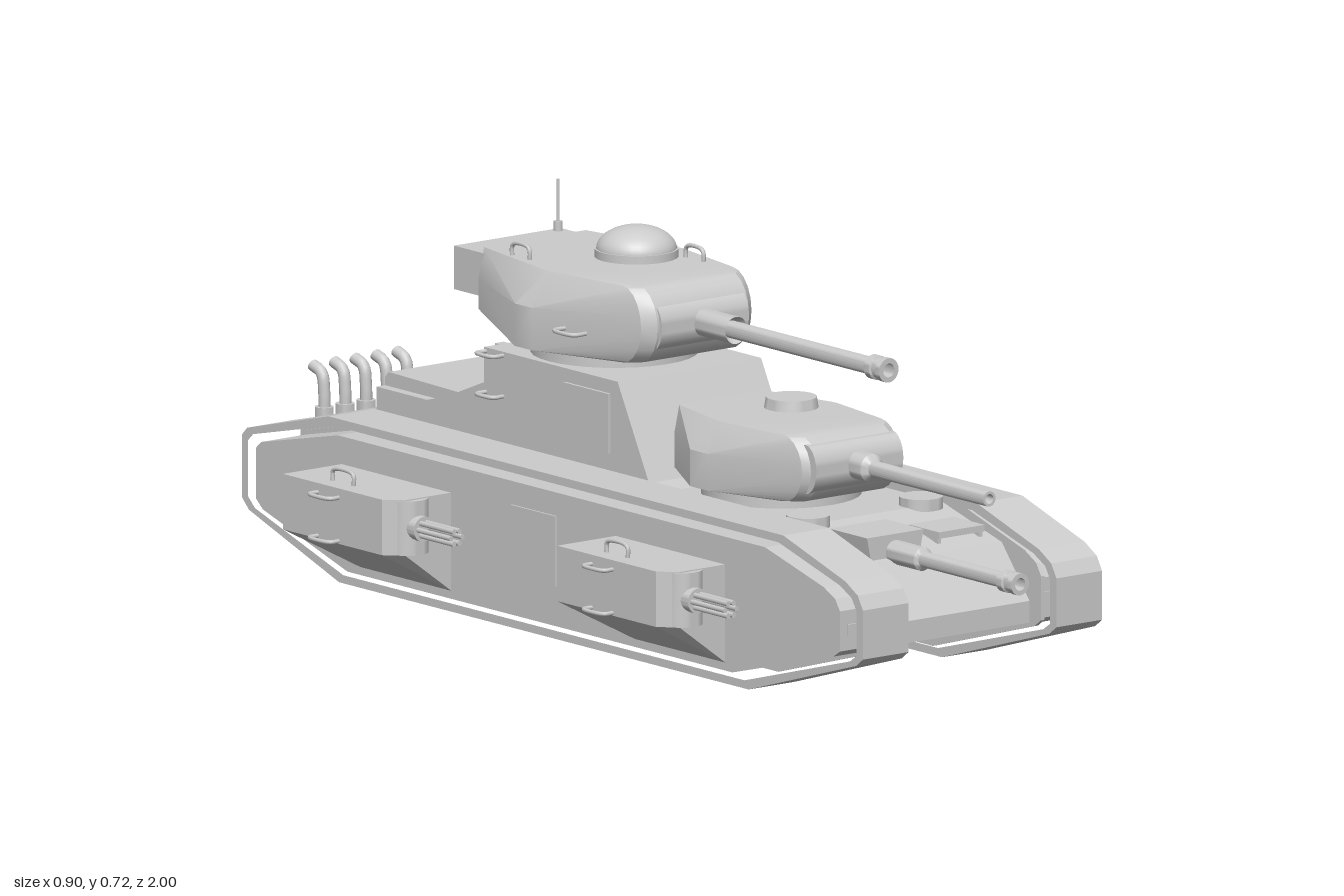
import * as THREE from 'three';
import { toCreasedNormals } from 'three/addons/utils/BufferGeometryUtils.js';
import { ConvexGeometry } from 'three/addons/geometries/ConvexGeometry.js';

const mat = new THREE.MeshStandardMaterial({ color: 0xcccccc });
const V = (x, y, z) => new THREE.Vector3(x, y, z);

export function createModel() {
  const root = new THREE.Group();
  const add = (name, geo, x = 0, y = 0, z = 0) => {
    const m = new THREE.Mesh(geo, mat);
    m.name = name;
    m.position.set(x, y, z);
    root.add(m);
    return m;
  };
  const box = (name, w, h, d, x, y, z) => add(name, new THREE.BoxGeometry(w, h, d), x, y, z);
  const disc = (name, r, h, x, y, z, r2 = r) =>
    add(name, toCreasedNormals(new THREE.CylinderGeometry(r2, r, h, 32), 0.6), x, y, z);
  const convex = (name, pts) =>
    add(name, toCreasedNormals(new ConvexGeometry(pts.map(p => V(...p))), 0.4));
  // Side profile of [z, y] points, extruded across x; optional hole
  const profile = (name, pts, width, cx = 0, hole) => {
    const s = new THREE.Shape(pts.map(p => new THREE.Vector2(...p)));
    if (hole) s.holes.push(new THREE.Path(hole.map(p => new THREE.Vector2(...p))));
    const g = new THREE.ExtrudeGeometry(s, { depth: width, bevelEnabled: false });
    g.rotateY(-Math.PI / 2);
    return add(name, g, cx + width / 2);
  };
  // Barrel along +z from [radius, z] points
  const barrel = (name, pts, x, y, z) => {
    const g = new THREE.LatheGeometry(pts.map(p => new THREE.Vector2(...p)).reverse(), 24);
    g.rotateX(Math.PI / 2);
    const m = add(name, toCreasedNormals(g, 0.6), x, y, z);
    m.material = barrelMat;
    return m;
  };
  const barrelMat = mat.clone();
  barrelMat.side = THREE.DoubleSide;
  // U-shaped grab handle running along z; out = direction it stands off
  const handle = (x, y, z, out, len = 0.06, h = 0.025) => {
    const o = V(...out).multiplyScalar(h), e = V(0, 0, len / 2);
    const pts = [e.clone(), e.clone().addScaledVector(o, 0.8), e.clone().multiplyScalar(0.7).add(o),
      e.clone().multiplyScalar(-0.7).add(o), e.clone().negate().addScaledVector(o, 0.8), e.clone().negate()];
    add('grabHandle', new THREE.TubeGeometry(
      new THREE.CatmullRomCurve3(pts, false, 'centripetal'), 20, 0.004, 8), x, y, z);
  };

  // Hull between the tracks
  profile('hull', [[0.48, 0.285], [0.65, 0.24], [0.73, 0.145], [0.73, 0.105], [0.5, 0.055],
    [-0.7, 0.055], [-0.94, 0.11], [-0.94, 0.245], [-0.73, 0.295], [0.06, 0.295], [0.1, 0.285]], 0.344);

  // Tracks with raised side plates
  const loop = [[0.58, 0.3], [0.76, 0.245], [0.795, 0.225], [0.81, 0.2], [0.81, 0.11], [0.79, 0.095],
    [0.48, 0], [-0.7, 0], [-0.96, 0.09], [-0.98, 0.11], [-0.98, 0.225], [-0.965, 0.24], [-0.73, 0.3]];
  const inset = (kz, ky) => loop.map(([z, y]) => [-0.085 + (z + 0.085) * kz, 0.15 + (y - 0.15) * ky]);
  for (const s of [-1, 1]) {
    profile('trackBand', loop, 0.105, s * 0.2225, inset(0.98, 0.9));
    profile('trackSidePlate', inset(0.94, 0.82), 0.11, s * 0.23);
    profile('trackInnerPlate', inset(0.945, 0.9), 0.008, s * 0.178);
    for (const z of [0.71, -0.88])
      box('trackSpacer', 0.09, 0.02, 0.1, s * 0.224, 0.155, z);
    box('sideDoor', 0.006, 0.13, 0.13, s * 0.286, 0.165, -0.125);
    box('superstructureDoor', 0.006, 0.11, 0.13, s * 0.168, 0.385, -0.12);
    disc('driverHatch', 0.04, 0.022, s * 0.13, 0.29, 0.47);
  }

  // Superstructure and engine deck
  profile('superstructure', [[0.06, 0.285], [-0.035, 0.465], [-0.42, 0.465], [-0.42, 0.4],
    [-0.53, 0.355], [-0.73, 0.3], [-0.73, 0.285]].reverse(), 0.33);
  profile('engineDeck', [[-0.5, 0.29], [-0.5, 0.362], [-0.72, 0.366], [-0.73, 0.355], [-0.73, 0.29]].reverse(), 0.29);
  for (const s of [-1, 1]) {
    box('engineDeckRail', 0.02, 0.05, 0.23, s * 0.155, 0.315, -0.615);
    box('rearHinge', 0.02, 0.07, 0.015, s * 0.12, 0.43, -0.425);
  }
  handle(-0.165, 0.458, -0.39, [-1, 0, 0], 0.05);
  handle(-0.165, 0.383, -0.39, [-1, 0, 0], 0.05);

  // Hull gun and vision hood
  const mount = [];
  for (const z of [0.53, 0.64])
    mount.push([-0.13, 0.285, z], [0, 0.285, z], [-0.113, 0.205, z], [-0.017, 0.205, z]);
  convex('hullGunMount', mount);
  const muzzle = (r, len) => [[0, 0], [r * 1.5, 0], [r * 1.5, 0.08], [r, 0.085], [r, len - 0.05],
    [r * 1.4, len - 0.045], [r * 1.4, len - 0.03], [r * 1.15, len - 0.028], [r * 1.15, len - 0.015],
    [r * 1.4, len - 0.013], [r * 1.4, len], [r * 0.8, len], [r * 0.8, len - 0.08], [0, len - 0.08]];
  barrel('hullGun', muzzle(0.0145, 0.36), -0.065, 0.252, 0.64);
  box('visionHoodRoof', 0.105, 0.012, 0.09, 0.1, 0.264, 0.58);
  box('visionHoodSill', 0.095, 0.02, 0.07, 0.1, 0.236, 0.59);
  for (const x of [0.052, 0.148]) box('visionHoodCheek', 0.008, 0.04, 0.08, x, 0.246, 0.58);

  // Turret shell: rounded nose, widest waist, narrow rear
  const turret = (name, { nose, waist, rear, noseW, waistW, rearW, y0, y1, lift }) => {
    const pts = [], h = y1 - y0, mid = (y0 + y1) / 2;
    for (const s of [-1, 1]) {
      for (let i = 0; i <= 10; i++) {
        const a = -Math.PI / 2 + Math.PI * i / 10;
        const y = mid + Math.sin(a) * h / 2, z = nose - (1 - Math.cos(a)) * 0.055;
        pts.push([s * noseW, y, z], [s * (noseW + 0.022), y, z - 0.02]);
      }
      pts.push([s * waistW, y0, waist], [s * waistW, y0 + h * 0.55, waist], [s * waistW * 0.82, y1, waist]);
      pts.push([s * waistW, y0, waist - 0.05], [s * waistW, y0 + h * 0.55, waist - 0.05]);
      pts.push([s * rearW, y0 + lift, rear], [s * rearW, y0 + h * 0.6, rear], [s * rearW * 0.9, y1, rear]);
    }
    convex(name, pts);
  };
  const mantlet = (name, y, z, h) => {
    const g = new THREE.CylinderGeometry(h / 2, h / 2, 0.2, 32);
    g.rotateZ(Math.PI / 2);
    add(name, toCreasedNormals(g, 0.6), 0, y, z).scale.z = 0.7;
  };

  // Front turret
  disc('frontTurretRing', 0.145, 0.04, 0, 0.295, 0.23);
  turret('frontTurret', { nose: 0.45, waist: 0.22, rear: 0.06, noseW: 0.09, waistW: 0.162, rearW: 0.11,
    y0: 0.307, y1: 0.43, lift: 0.01 });
  mantlet('frontMantlet', 0.372, 0.425, 0.09);
  barrel('frontTurretGun', [[0, 0], [0.026, 0], [0.026, 0.045], [0.015, 0.055], [0.014, 0.385],
    [0.009, 0.385], [0.009, 0.3], [0, 0.3]], 0, 0.372, 0.445);
  disc('frontTurretHatch', 0.05, 0.025, 0.047, 0.437, 0.2, 0.046);

  // Main turret with bustle, domed cupola and aerial
  disc('mainTurretRing', 0.152, 0.03, 0, 0.478, -0.25);
  turret('mainTurret', { nose: 0.005, waist: -0.25, rear: -0.48, noseW: 0.105, waistW: 0.19, rearW: 0.13,
    y0: 0.49, y1: 0.632, lift: 0.03 });
  mantlet('mainMantlet', 0.56, -0.02, 0.09);
  barrel('mainGun', [[0, -0.02], [0.025, -0.02], [0.025, 0.1], ...muzzle(0.016, 0.54).slice(3)], 0, 0.56, 0);
  box('bustle', 0.245, 0.08, 0.1, 0, 0.582, -0.51);
  disc('cupolaBase', 0.076, 0.02, 0.05, 0.637, -0.25);
  add('cupolaDome', new THREE.SphereGeometry(0.073, 32, 12, 0, Math.PI * 2, 0, Math.PI / 2),
    0.05, 0.645, -0.25).scale.y = 0.6;
  disc('aerialBase', 0.008, 0.02, 0.105, 0.63, -0.545);
  disc('aerial', 0.0025, 0.1, 0.105, 0.667, -0.545);
  handle(-0.12, 0.625, -0.37, [0, 1, 0], 0.05, 0.03);
  handle(0.112, 0.625, -0.16, [0, 1, 0], 0.05, 0.03);
  for (const s of [-1, 1]) handle(s * 0.17, 0.54, -0.15, [s, 0, 0], 0.06, 0.03);

  // Side sponsons with rotary guns
  for (const s of [-1, 1]) for (const z0 of [0.11, -0.68]) {
    const zf = z0 + 0.315, upper = [], lower = [];
    for (const y of [0.12, 0.222])
      upper.push([s * 0.27, y, z0], [s * 0.42, y, z0], [s * 0.42, y, zf - 0.03],
        [s * 0.39, y, zf], [s * 0.27, y, zf]);
    lower.push(...upper.slice(0, 5), [s * 0.282, 0.04, z0 + 0.055], [s * 0.27, 0.04, z0 + 0.055],
      [s * 0.282, 0.04, zf], [s * 0.27, 0.04, zf]);
    convex('sponson', upper);
    convex('sponsonUnderside', lower);
    disc('sponsonGunDrum', 0.038, 0.1, s * 0.365, 0.17, zf - 0.025);
    const gx = s * 0.367;
    const hub = new THREE.CylinderGeometry(0.023, 0.023, 0.03, 20).rotateX(Math.PI / 2);
    add('rotaryGunHub', toCreasedNormals(hub, 0.6), gx, 0.17, zf + 0.01);
    for (let i = 0; i < 6; i++) {
      const a = i * Math.PI / 3;
      const g = new THREE.CylinderGeometry(0.005, 0.005, 0.13, 8).rotateX(Math.PI / 2);
      add('rotaryGunBarrel', g, gx + Math.cos(a) * 0.013, 0.17 + Math.sin(a) * 0.013, zf + 0.055);
    }
    handle(s * 0.385, 0.22, z0 + 0.13, [0, 1, 0]);
    for (const y of [0.125, 0.205]) handle(s * 0.418, y, z0 + 0.13, [s, 0, 0]);
  }

  // Exhaust stacks across the rear
  for (let i = -2; i <= 2; i++) {
    const x = i * 0.048;
    const path = new THREE.CatmullRomCurve3([V(x, 0.12, -0.93), V(x, 0.125, -0.958), V(x, 0.15, -0.967),
      V(x, 0.28, -0.967), V(x, 0.315, -0.974), V(x, 0.326, -1)], false, 'centripetal');
    add('exhaustPipe', new THREE.TubeGeometry(path, 30, 0.011, 12)).material = barrelMat;
    disc('exhaustMuffler', 0.017, 0.11, x, 0.2, -0.967);
  }
  return root;
}
